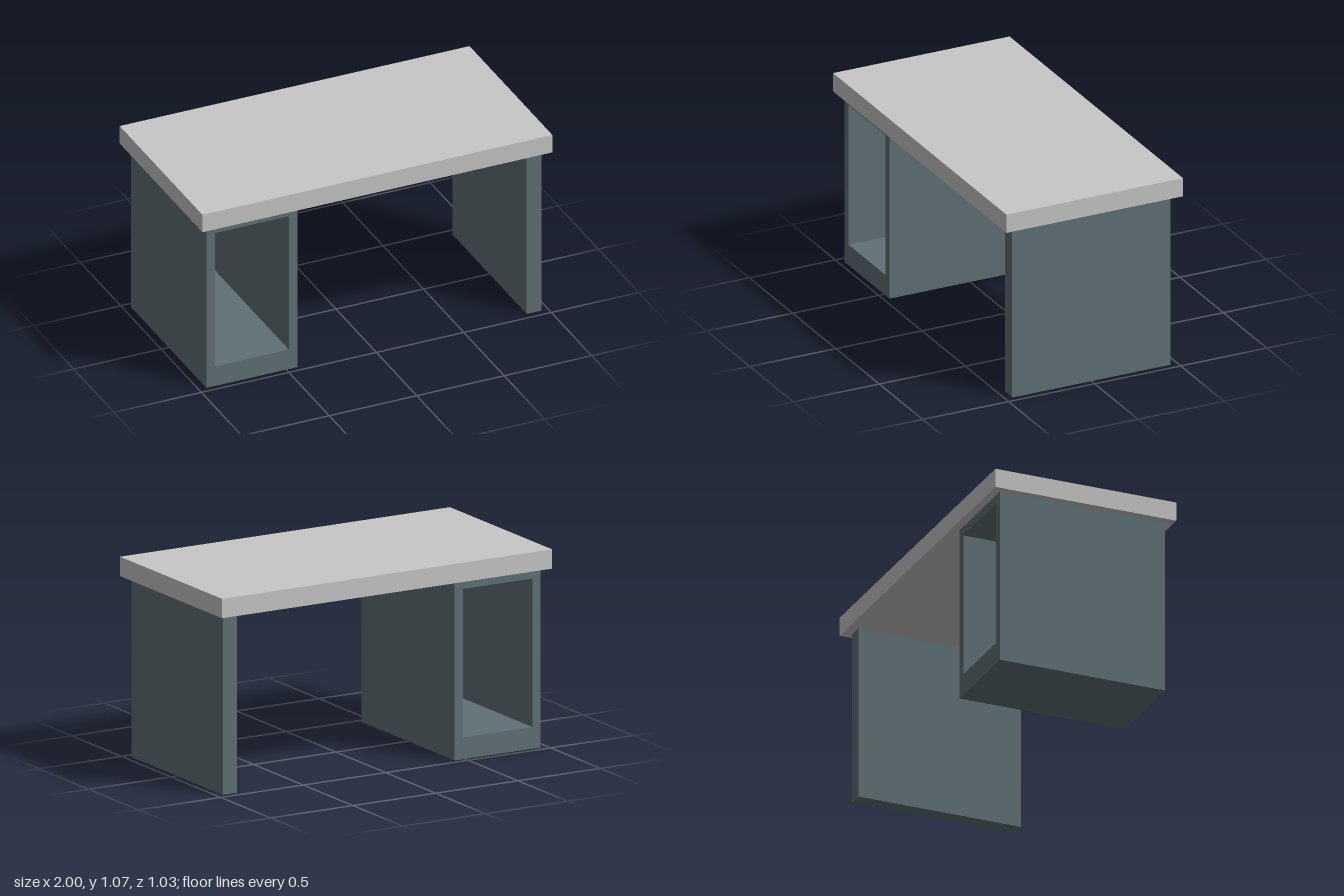
import * as THREE from 'three';

export function createModel() {
  const desk = new THREE.Group();
  desk.name = 'desk';

  const topGrey = new THREE.MeshStandardMaterial({ color: 0xc7c7c7 });
  topGrey.name = 'light grey';
  const slate = new THREE.MeshStandardMaterial({ color: 0x607075 });
  slate.name = 'slate';

  const legHeight = 0.963;

  function add(name, geometry, material, x, y, z) {
    const mesh = new THREE.Mesh(geometry, material);
    mesh.name = name;
    mesh.position.set(x, y, z);
    desk.add(mesh);
  }

  function rectangle(target, x0, y0, x1, y1) {
    target.moveTo(x0, y0).lineTo(x1, y0).lineTo(x1, y1).lineTo(x0, y1).closePath();
    return target;
  }

  // Thick desktop slab
  const slab = 0.104;
  add('desktop', new THREE.BoxGeometry(2, slab, 1.026), topGrey, 0, legHeight + slab / 2, 0);

  // Solid side panel
  add('sidePanel', new THREE.BoxGeometry(0.086, legHeight, 0.921), slate, 0.92, legHeight / 2, 0);

  // Hollow pedestal, open from front to back
  const outline = rectangle(new THREE.Shape(), -0.957, 0, -0.437, legHeight);
  outline.holes.push(rectangle(new THREE.Path(), -0.908, 0.117, -0.486, 0.913));
  const depth = 0.937;
  add('pedestal', new THREE.ExtrudeGeometry(outline, { depth, bevelEnabled: false }), slate, 0, 0, -depth / 2);

  return desk;
}
